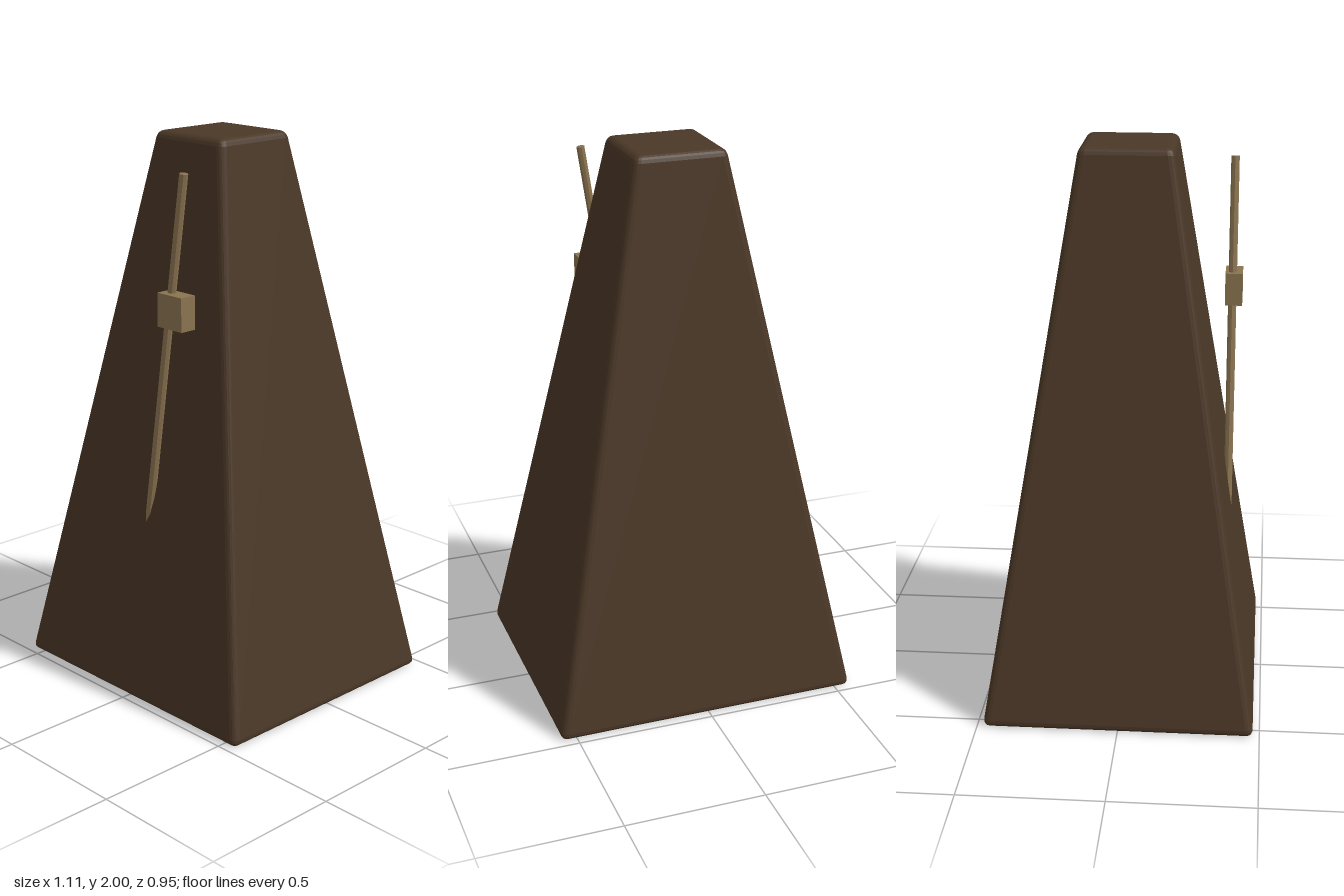
import * as THREE from 'three';
import { RoundedBoxGeometry } from 'three/addons/geometries/RoundedBoxGeometry.js';

export function createModel() {
  const group = new THREE.Group();
  const wood = new THREE.MeshStandardMaterial({ color: 0x4a3726 });
  wood.name = 'darkWood';
  const brass = new THREE.MeshStandardMaterial({ color: 0x8b7450 });
  brass.name = 'agedBrass';

  const add = (name, geometry, material) => {
    const mesh = new THREE.Mesh(geometry, material);
    mesh.name = name;
    group.add(mesh);
    return mesh;
  };

  // Tapered case: a bevelled box whose sides are pulled inwards with height,
  // keeping the bevel the same width all the way up
  const body = new RoundedBoxGeometry(1.12, 2, 0.96, 2, 0.025);
  const p = body.attributes.position;
  for (let i = 0; i < p.count; i++) {
    const t = (p.getY(i) + 1) / 2;
    p.setXYZ(
      i,
      p.getX(i) - Math.sign(p.getX(i)) * 0.395 * t,
      p.getY(i) + 1,
      p.getZ(i) - Math.sign(p.getZ(i)) * 0.317 * t
    );
  }
  body.computeVertexNormals();
  add('case', body, wood);

  // Pendulum rod, leaning to the left and sunk into the case at its foot
  const foot = new THREE.Vector3(-0.008, 0.58, 0.362);
  const tip = new THREE.Vector3(0.196, 1.913, 0.362);
  const dir = tip.clone().sub(foot);
  const rodGeometry = new THREE.CylinderGeometry(0.015, 0.015, dir.length(), 8).toNonIndexed();
  rodGeometry.computeVertexNormals();
  const rod = add('pendulumRod', rodGeometry, brass);
  rod.position.copy(foot).add(tip).multiplyScalar(0.5);
  rod.quaternion.setFromUnitVectors(new THREE.Vector3(0, 1, 0), dir.normalize());

  // Sliding weight
  const weight = add('slidingWeight', new THREE.BoxGeometry(0.118, 0.118, 0.062), brass);
  weight.position.set(0.159, 1.446, 0.367);

  return group;
}
